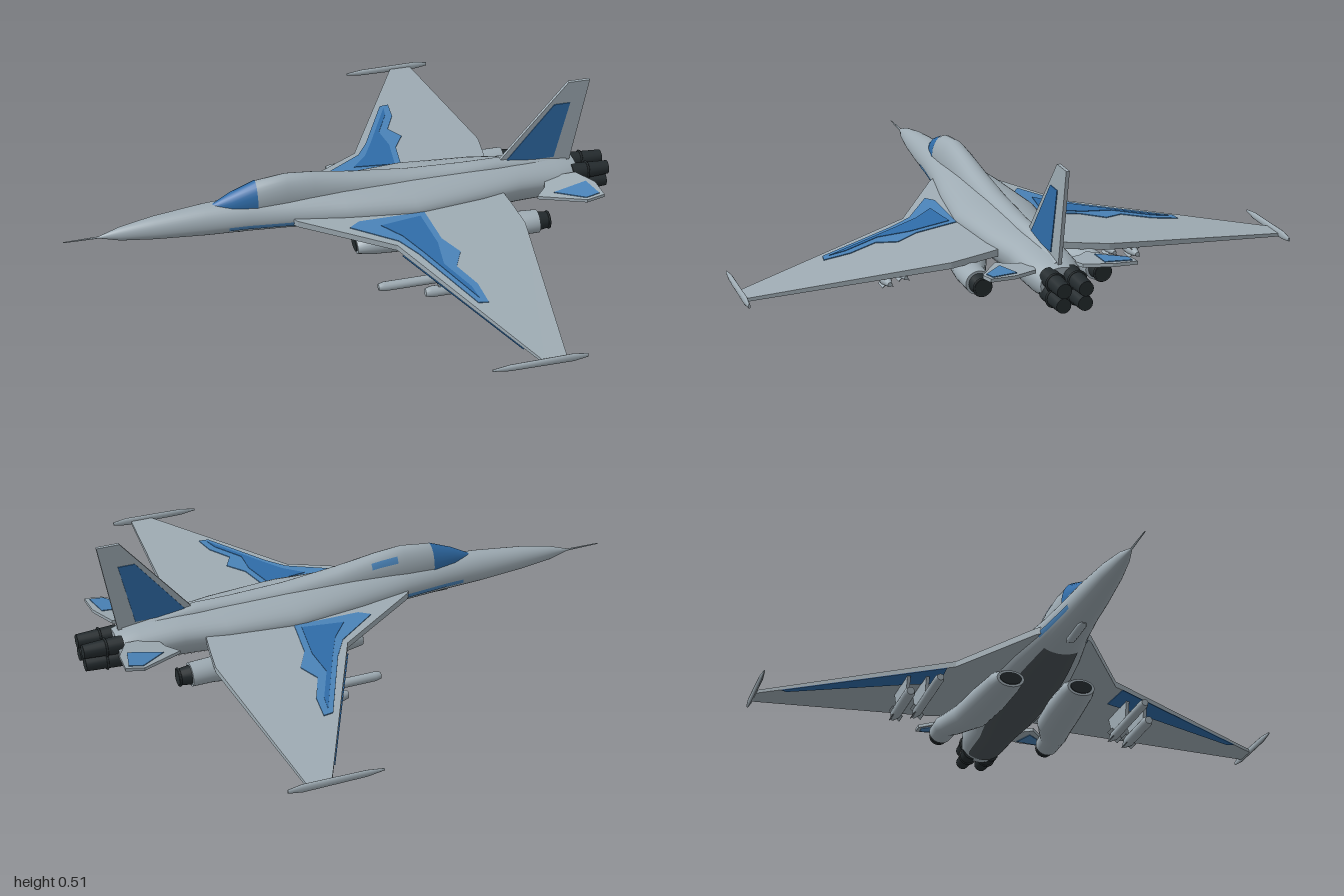
import * as THREE from 'three';

const paint = (name, color) => Object.assign(new THREE.MeshStandardMaterial({ color }), { name });

// Sections are [x, centreY, centreZ, up, down, halfWidth]
const BODY = [
  [-.88, .145, 0, .002, .002, .002], [-.8, .148, 0, .025, .025, .022], [-.68, .15, 0, .045, .038, .04],
  [-.5, .152, 0, .063, .05, .057], [-.35, .155, 0, .066, .057, .068], [-.2, .155, 0, .07, .06, .085],
  [0, .155, 0, .075, .075, .12], [.25, .155, 0, .07, .085, .15], [.5, .155, 0, .065, .095, .125],
  [.65, .15, 0, .065, .09, .097], [.8, .145, 0, .06, .08, .092], [.88, .135, 0, .055, .065, .072],
];
const SPINE = [
  [-.47, .2, 0, .012, .03, .01], [-.4, .205, 0, .045, .03, .033], [-.31, .21, 0, .076, .05, .048],
  [-.2, .21, 0, .09, .05, .05], [-.1, .21, 0, .08, .05, .05], [.05, .205, 0, .06, .05, .05],
  [.25, .2, 0, .042, .05, .046], [.45, .2, 0, .034, .05, .04], [.58, .2, 0, .036, .05, .034],
  [.85, .18, 0, .02, .03, .02],
];

// Skin through elliptical sections; angles run from the top (0) towards +z
function loft(secs, { n = 28, a0 = -Math.PI, a1 = Math.PI, off = 0, caps = true, s = 1 } = {}) {
  const pos = [], idx = [], w = n + 1;
  const ring = ([x, cy, cz, up, down, rz]) => {
    for (let j = 0; j <= n; j++) {
      const a = a0 + (a1 - a0) * j / n, c = Math.cos(a);
      pos.push(x, cy + c * ((c > 0 ? up : down) + off), cz * s + Math.sin(a) * (rz + off));
    }
  };
  secs.forEach(ring);
  for (let i = 0; i < secs.length - 1; i++) for (let j = 0; j < n; j++) {
    const a = i * w + j, b = a + w;
    idx.push(a, a + 1, b, a + 1, b + 1, b);
  }
  if (caps) [secs[0], secs.at(-1)].forEach((sec, k) => {
    const base = pos.length / 3;
    ring(sec);
    for (let j = 1; j < n - 1; j++) idx.push(base, base + j + (k ? 0 : 1), base + j + (k ? 1 : 0));
  });
  const g = new THREE.BufferGeometry();
  g.setAttribute('position', new THREE.Float32BufferAttribute(pos, 3));
  g.setIndex(idx);
  g.computeVertexNormals();
  return g;
}

// Part of a skin between two x positions, lifted slightly, for painted areas
function patch(secs, x0, x1, deg0, deg1, off = .002) {
  const at = x => {
    const i = Math.max(1, secs.findIndex(q => q[0] >= x));
    const p = secs[i - 1], q = secs[i], t = (x - p[0]) / (q[0] - p[0]);
    return p.map((v, k) => v + (q[k] - v) * t);
  };
  const mid = secs.filter(q => q[0] > x0 + 1e-4 && q[0] < x1 - 1e-4);
  return loft([at(x0), ...mid, at(x1)],
    { n: 14, a0: deg0 * Math.PI / 180, a1: deg1 * Math.PI / 180, off, caps: false });
}

const shape = pts => new THREE.Shape(pts.map(p => new THREE.Vector2(...p)));

// Flat panel from an [x, z] outline, with height rules for its underside and top
function panel(pts, low, high, s) {
  const g = new THREE.ExtrudeGeometry(shape(pts), { depth: 1, bevelEnabled: false });
  const p = g.attributes.position;
  for (let i = 0; i < p.count; i++) {
    const x = p.getX(i), z = p.getY(i), t = p.getZ(i);
    p.setXYZ(i, x, t > .5 ? high(x, z) : low(x, z), z * s);
  }
  if (s > 0) for (let i = 0; i < p.count; i += 3) {
    const a = [p.getX(i), p.getY(i), p.getZ(i)];
    p.setXYZ(i, p.getX(i + 1), p.getY(i + 1), p.getZ(i + 1));
    p.setXYZ(i + 1, ...a);
  }
  g.computeVertexNormals();
  return g;
}

// Upright plate in the x-y plane
const plate = (pts, depth, z) =>
  new THREE.ExtrudeGeometry(shape(pts), { depth, bevelEnabled: false }).translate(0, 0, z - depth / 2);

export function createModel() {
  const grey = paint('grey paint', 0x9eabb3), blue = paint('blue paint', 0x2f6ca8);
  const paleBlue = paint('pale blue paint', 0x4a83b8), dark = paint('dark metal', 0x232a2d);
  const belly = paint('belly paint', 0x4a5257);
  const model = new THREE.Group();
  model.name = 'jetAircraft';
  const add = (name, g, m) => {
    const mesh = new THREE.Mesh(g, m);
    mesh.name = name;
    model.add(mesh);
    return mesh;
  };
  const tube = (r0, r1, x0, x1, y, z, n = 16) =>
    new THREE.CylinderGeometry(r1, r0, x1 - x0, n).rotateZ(-Math.PI / 2).translate((x0 + x1) / 2, y, z);

  // Fuselage, spine and nose
  add('fuselage', loft(BODY, { n: 36 }), grey);
  add('spine', loft(SPINE), grey);
  add('windshield', patch(SPINE, -.47, -.31, -100, 100), blue);
  add('spineMark', patch(SPINE, -.17, -.07, -58, -38), paleBlue);
  add('bellyPanel', patch(BODY, -.15, .84, 140, 220), belly);
  add('noseProbe', tube(.002, .004, -1, -.86, .145, 0, 8), grey);
  add('chinPod', loft([[-.4, .1, 0, .008, .004, .008], [-.38, .098, 0, .012, .014, .016],
    [-.26, .098, 0, .012, .014, .016], [-.23, .1, 0, .008, .004, .008]], { n: 12 }), grey);

  // Fin
  add('fin', plate([[.57, .2], [.84, .525], [.92, .525], [.86, .18]], .012, 0), grey);

  // Wing and tailplane height rules
  const wy = z => .158 - .093 * z, wt = z => .013 - .0075 * z;
  const top = (x, z) => wy(z) + wt(z), under = (x, z) => wy(z) - wt(z);
  const lift = (f, d) => (x, z) => f(x, z) + d;
  const ty = x => .155 + .15 * (x - .7);
  const tTop = x => ty(x) + .006, tUnder = x => ty(x) - .006;

  for (const s of [1, -1]) {
    const side = s > 0 ? 'left' : 'right';
    const put = (name, g, m) => add(side + name, g, m);

    put('FinMark', plate([[.61, .215], [.79, .44], [.85, .44], [.8, .215]], .003, s * .0075), blue);
    put('FuselageMark', patch(BODY, -.42, -.17, s > 0 ? 95 : -112, s > 0 ? 112 : -95), paleBlue);

    // Wing with its painted areas
    put('Wing', panel([[-.22, .05], [-.18, .1], [.13, .3], [.45, .955], [.53, .955], [.605, .28],
      [.59, .17], [.57, .05]], under, top, s), grey);
    put('WingMark', panel([[-.01, .175], [.03, .15], [.27, .15], [.29, .3], [.335, .38], [.3, .45], [.345, .55],
      [.355, .645], [.32, .64], [.19, .36], [.14, .28]], top, lift(top, .003), s), paleBlue);
    put('WingMarkCore', panel([[.1, .19], [.25, .17], [.27, .32], [.26, .43], [.32, .56], [.33, .62],
      [.21, .36], [.16, .26]], lift(top, .003), lift(top, .005), s), blue);
    put('WingUndersideMark', panel([[.14, .33], [.28, .32], [.31, .45], [.42, .85], [.405, .87]],
      lift(under, -.003), under, s), blue);
    put('WingtipRail', loft([[.27, .074, .957, .004, .004, .003], [.33, .074, .957, .012, .012, .008],
      [.55, .074, .957, .016, .014, .008], [.6, .074, .957, .008, .006, .004]], { n: 12, s }), grey);

    // Tailplane
    put('Tailplane', panel([[.75, .06], [.73, .12], [.69, .16], [.845, .255], [.91, .25], [.905, .165],
      [.86, .08]], tUnder, tTop, s), grey);
    const tailMark = [[.75, .165], [.845, .243], [.895, .238], [.875, .15]];
    put('TailplaneMark', panel(tailMark, tTop, lift(tTop, .003), s), paleBlue);
    put('TailplaneUndersideMark', panel(tailMark, lift(tUnder, -.003), tUnder, s), paleBlue);

    // Engine nacelle with intake and nozzle
    put('Nacelle', loft([[.02, .052, .13, .03, .032, .05], [.08, .06, .135, .045, .048, .06],
      [.25, .065, .145, .055, .054, .068], [.42, .068, .16, .055, .052, .068], [.55, .08, .195, .046, .044, .054],
      [.6, .088, .207, .043, .04, .048], [.675, .088, .21, .042, .04, .044]], { s }), grey);
    put('Intake', loft([[.016, .052, .13, .022, .024, .04], [.021, .052, .13, .022, .024, .04]], { s }), dark);
    put('NacelleNozzle', tube(.035, .028, .67, .72, .088, s * .21), dark);
    put('NacelleRing', new THREE.TorusGeometry(.03, .004, 6, 20).rotateY(Math.PI / 2)
      .translate(.715, .088, s * .21), dark);

    // Tail nozzles, stacked in pairs
    for (const [level, y, x1] of [['Upper', .156, 1], ['Lower', .105, .995]]) {
      put(level + 'TailNozzle', tube(.033, .025, .86, x1, y, s * .037), dark);
      put(level + 'TailRing', new THREE.TorusGeometry(.031, .004, 6, 20).rotateY(Math.PI / 2)
        .translate(.92, y, s * .037), dark);
    }

    // Underwing stores on pylons
    for (const [name, z, x0, x1, r] of [['Inner', .378, .04, .42, .017], ['Outer', .447, .19, .46, .02]]) {
      const y = .033;
      put(name + 'Store', loft([[x0, y, z, r * .7, r * .7, r * .7], [x0 + .02, y, z, r, r, r],
        [x1 - .05, y, z, r, r, r], [x1, y, z, r * .4, r * .4, r * .4]], { n: 16, s }), grey);
      put(name + 'Pylon', plate([[.24, y], [.22, .115], [.42, .115], [.38, y]], .012, s * z), grey);
      for (const k of [1, -1]) put(name + 'StoreFin', new THREE.BoxGeometry(.05, .054, .003)
        .rotateX(k * Math.PI / 4).translate(x1 - .05, y, s * z), grey);
    }
  }
  return model;
}
